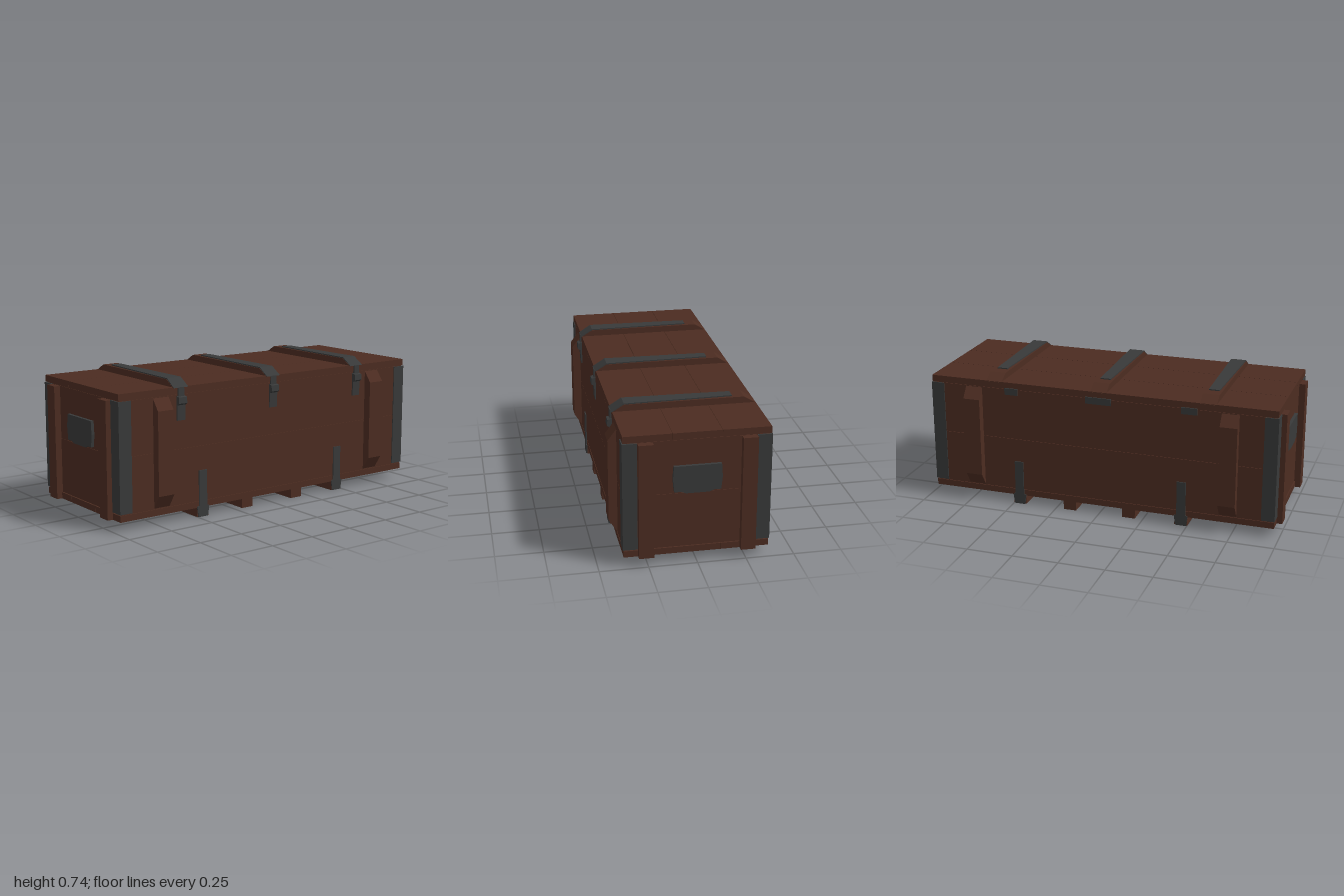
import * as THREE from 'three';

const wood = new THREE.MeshStandardMaterial({ color: 0x4c2c21 });
wood.name = 'dark wood';
const metal = new THREE.MeshStandardMaterial({ color: 0x383939 });
metal.name = 'dark metal';

export function createModel() {
  const model = new THREE.Group();
  model.name = 'crate';

  const add = (name, geometry, material) => {
    const mesh = new THREE.Mesh(geometry, material);
    mesh.name = name;
    model.add(mesh);
    return mesh;
  };
  // Box given by its limits on each axis
  const box = (name, material, [x0, x1], [y0, y1], [z0, z1]) => {
    const g = new THREE.BoxGeometry(x1 - x0, y1 - y0, z1 - z0);
    g.translate((x0 + x1) / 2, (y0 + y1) / 2, (z0 + z1) / 2);
    return add(name, g, material);
  };
  // Both limits of a span on either side of zero
  const span = (s, a, b) => (s > 0 ? [a, b] : [-b, -a]);
  const around = (c, w) => [c - w / 2, c + w / 2];
  // Profile of [z, y] points, extruded along x and centred on x
  const prism = (name, material, points, x, width) => {
    const shape = new THREE.Shape(points.map(p => new THREE.Vector2(...p)));
    const g = new THREE.ExtrudeGeometry(shape, { depth: width, bevelEnabled: false });
    g.rotateY(-Math.PI / 2).translate(x + width / 2, 0, 0);
    return add(name, g, material);
  };

  // Body of two plank courses
  box('lowerPlanks', wood, [-0.965, 0.965], [0.088, 0.379], [-0.37, 0.37]);
  box('upperPlanks', wood, [-0.965, 0.965], [0.381, 0.664], [-0.37, 0.37]);
  box('bodyCore', wood, [-0.962, 0.962], [0.07, 0.68], [-0.366, 0.366]);

  // Lid and floor, three planks each
  for (const z of [-0.248, 0, 0.248]) {
    box('lidPlank', wood, [-0.97, 0.97], [0.668, 0.703], around(z, 0.2465));
    box('floorPlank', wood, [-0.97, 0.97], [0.05, 0.084], around(z, 0.2465));
  }

  // Skids under the floor
  for (const x of [-0.465, -0.17, 0.17, 0.465]) {
    box('skid', wood, around(x, 0.072), [0, 0.052], [-0.371, 0.371]);
  }

  for (const s of [-1, 1]) {
    for (const m of [-1, 1]) {
      // Upright battens with sloped ends, front and back
      const profile = [[0.365, 0.09], [0.37, 0.09], [0.415, 0.16], [0.415, 0.6], [0.37, 0.66], [0.365, 0.66]];
      const batten = profile.map(([z, y]) => [z * m, y]);
      prism('uprightBatten', wood, batten, s * 0.72, 0.094);

      // Metal strap that widens over the skid end
      const strap = new THREE.Shape([
        [-0.03, 0], [0.03, 0], [0.038, 0.055], [0.025, 0.06],
        [0.025, 0.25], [-0.025, 0.25], [-0.025, 0.06], [-0.038, 0.055],
      ].map(p => new THREE.Vector2(...p)));
      const g = new THREE.ExtrudeGeometry(strap, { depth: 0.006, bevelEnabled: false });
      g.translate(s * 0.465, 0, m > 0 ? 0.371 : -0.377);
      add('skidStrap', g, metal);

      // Corner angle plates
      box('cornerPlateFace', metal, span(s, 0.9, 0.973), [0.09, 0.664], span(m, 0.369, 0.375));
      box('cornerPlateEnd', metal, span(s, 0.964, 0.973), [0.09, 0.664], span(m, 0.3, 0.375));

      // Upright battens on the ends
      box('endBatten', wood, span(s, 0.965, 1), [0.05, 0.663], span(m, 0.222, 0.298));
    }

    // Handle plate with chamfered corners
    const plate = new THREE.Shape([
      [-0.06, 0.383], [0.06, 0.383], [0.083, 0.393], [0.118, 0.393], [0.125, 0.46], [0.12, 0.53],
      [-0.12, 0.53], [-0.125, 0.46], [-0.118, 0.393], [-0.083, 0.393],
    ].map(p => new THREE.Vector2(...p)));
    const handle = new THREE.ExtrudeGeometry(plate, { depth: 0.018, bevelEnabled: false });
    handle.rotateY(s * Math.PI / 2).translate(s * 0.964, 0, 0);
    add('handlePlate', handle, metal);
  }

  for (const x of [-0.6, 0, 0.6]) {
    // Lid batten with sloped ends
    prism('lidBatten', wood, [[-0.372, 0.7], [0.372, 0.7], [0.31, 0.737], [-0.31, 0.737]], x, 0.09);

    // Metal band over the batten, narrowing toward the back
    const band = prism('lidBand', metal, [
      [-0.25, 0.73], [0.305, 0.73], [0.368, 0.698], [0.378, 0.7], [0.311, 0.743], [-0.25, 0.743],
    ], 0, 1);
    const p = band.geometry.attributes.position;
    for (let i = 0; i < p.count; i++) {
      p.setX(i, x + p.getX(i) * THREE.MathUtils.mapLinear(p.getZ(i), -0.25, 0.378, 0.058, 0.088));
    }

    // Latch: tongue and body
    prism('latchTongue', metal, [[0.37, 0.64], [0.38, 0.64], [0.379, 0.702], [0.372, 0.702]], x, 0.035);
    prism('latch', metal, [
      [0.368, 0.53], [0.376, 0.53], [0.38, 0.61], [0.395, 0.62], [0.393, 0.652], [0.368, 0.658],
    ], x, 0.05);
  }

  // Hinges on the back edge
  for (const [x, w] of [[-0.5, 0.085], [0, 0.145], [0.5, 0.075]]) {
    box('hinge', metal, around(x, w), [0.635, 0.672], [-0.378, -0.368]);
  }
  return model;
}
